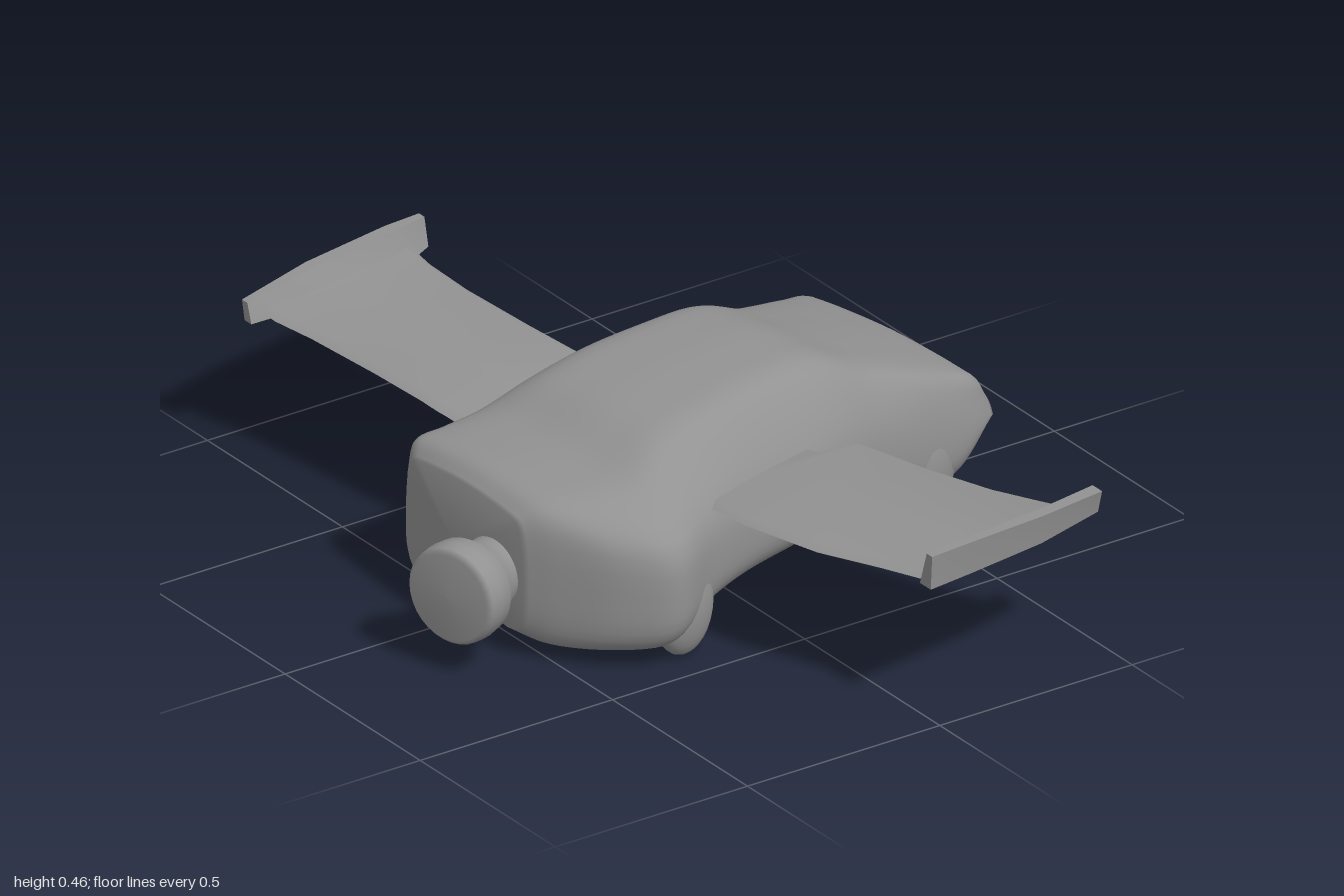
import * as THREE from 'three';
import { toCreasedNormals } from 'three/addons/utils/BufferGeometryUtils.js';

const V = (x, y, z) => new THREE.Vector3(x, y, z);
const material = new THREE.MeshStandardMaterial({ color: 0x929292, side: THREE.DoubleSide });

function addMesh(parent, name, geometry) {
  const mesh = new THREE.Mesh(geometry, material);
  mesh.name = name;
  parent.add(mesh);
  return mesh;
}

// Skin a row of closed rings and close both ends; bulge pushes the end centres outwards
function loft(rings, bulge = 0) {
  const n = rings[0].length, pos = [], idx = [];
  rings.forEach(r => r.forEach(p => pos.push(p.x, p.y, p.z)));
  for (let i = 0; i < rings.length - 1; i++) {
    for (let j = 0; j < n; j++) {
      const a = i * n + j, b = i * n + (j + 1) % n;
      idx.push(a, b, b + n, a, b + n, a + n);
    }
  }
  [0, rings.length - 1].forEach((r, end) => {
    const c = V(0, 0, 0);
    rings[r].forEach(p => c.addScaledVector(p, 1 / n));
    const centre = pos.length / 3;
    pos.push(c.x, c.y, c.z + (end ? bulge : -bulge));
    for (let j = 0; j < n; j++) {
      const a = r * n + j, b = r * n + (j + 1) % n;
      idx.push(centre, end ? a : b, end ? b : a);
    }
  });
  const g = new THREE.BufferGeometry();
  g.setAttribute('position', new THREE.Float32BufferAttribute(pos, 3));
  g.setIndex(idx);
  g.computeVertexNormals();
  return g;
}

// Resample rings with splines, around and along
function smoothRings(rings, around, along) {
  const round = rings.map(r => {
    const curve = new THREE.CatmullRomCurve3(r, true);
    return Array.from({ length: around }, (_, j) => curve.getPoint(j / around));
  });
  const lines = round[0].map((_, j) => new THREE.CatmullRomCurve3(round.map(r => r[j])));
  return Array.from({ length: along + 1 }, (_, i) => lines.map(l => l.getPoint(i / along)));
}

// Car cross-section between its two flanks: sill, shoulder and roof heights, roof width and sideways shift
function bodyRing([xl, zl, xr, zr, sill, shoulder, roof, w, shift = 0]) {
  const lower = [
    [0.5, sill], [0.85, sill], [0.97, sill + 0.04], [1, (sill + shoulder) / 2], [0.96, shoulder],
  ];
  const upper = [[w + 0.06, roof - (roof - shoulder) * 0.3], [w - 0.12, roof - 0.008], [w * 0.4, roof]];
  const side = s => [...lower.map(([u, y]) => [s * u, y]), ...upper.map(([u, y]) => [s * u + shift, y])];
  return [[0, sill], ...side(1), [shift, roof + 0.003], ...side(-1).reverse()].map(([u, y]) => {
    const t = (u + 1) / 2;
    return V(xl + (xr - xl) * t, y, zl + (zr - zl) * t);
  });
}

// Thin wing section; skew moves the leading edge along x
function wingRing([x, y, back, front, skew = 0]) {
  const d = front - back, h = 0.011, e = 0.02 / d;
  return [
    [1 - e, -h], [0.5, -h], [e, -h], [0, 0], [e, h], [0.5, h], [1 - e, h], [1, 0],
  ].map(([t, dy]) => V(x + skew * t, y + dy, back + d * t));
}

// Wing tip plate section at one z: foot from a0 to a1, top edge from b0 to b1
function plateRing([a0, a1, b0, b1, low, high, z]) {
  return [V(a0, low, z), V(a1, low, z), V(b1, high, z), V(b0, high, z)];
}

export function createModel() {
  const model = new THREE.Group();
  model.name = 'wingedCar';

  // Car body, from tail to nose
  const sections = [
    [-0.36, -0.665, 0.14, -0.742, 0.15, 0.2, 0.23, 0.8],
    [-0.405, -0.625, 0.165, -0.7, 0.105, 0.23, 0.29, 0.85],
    [-0.39, -0.53, 0.185, -0.63, 0.06, 0.245, 0.325, 0.82],
    [-0.36, -0.43, 0.2, -0.54, 0.06, 0.265, 0.357, 0.8],
    [-0.335, -0.33, 0.22, -0.43, 0.08, 0.28, 0.395, 0.75],
    [-0.33, -0.2, 0.26, -0.3, 0.09, 0.3, 0.45, 0.7],
    [-0.325, -0.05, 0.305, -0.15, 0.09, 0.3, 0.463, 0.67],
    [-0.31, 0.12, 0.36, 0.03, 0.09, 0.3, 0.46, 0.67],
    [-0.28, 0.25, 0.42, 0.18, 0.08, 0.3, 0.443, 0.66, -0.04],
    [-0.25, 0.36, 0.482, 0.31, 0.05, 0.29, 0.395, 0.7, -0.1],
    [-0.23, 0.46, 0.425, 0.41, 0.045, 0.295, 0.382, 0.73, -0.09],
    [-0.215, 0.53, 0.31, 0.505, 0.045, 0.3, 0.368, 0.8, -0.04],
    [-0.18, 0.56, 0.24, 0.55, 0.065, 0.28, 0.338, 0.82],
  ];
  addMesh(model, 'body', loft(smoothRings(sections.map(bodyRing), 56, 66), 0.03));

  // Soft, stubby wheels blending into the flanks
  const wheels = [
    ['frontLeftWheel', 0.405, 0.25], ['frontRightWheel', -0.205, 0.36],
    ['rearLeftWheel', 0.155, -0.555], ['rearRightWheel', -0.325, -0.445],
  ];
  for (const [name, x, z] of wheels) {
    const wheel = addMesh(model, name, new THREE.SphereGeometry(1, 24, 16));
    wheel.scale.set(0.047, 0.115, 0.08);
    wheel.position.set(x, 0.118, z);
    wheel.rotation.y = 0.19;
  }

  // Flared round nozzle on the nose
  const profile = [
    [0.085, -0.08], [0.078, 0], [0.078, 0.04], [0.093, 0.08], [0.11, 0.105],
    [0.114, 0.14], [0.111, 0.168], [0.1, 0.18], [0, 0.183],
  ].map(([r, y]) => new THREE.Vector2(r, y));
  const nozzle = addMesh(model, 'noseNozzle', new THREE.LatheGeometry(profile, 32));
  nozzle.rotation.set(Math.PI / 2, 0, -0.33);
  nozzle.position.set(0.14, 0.183, 0.545);

  // Wings, each listed in order of rising x: x, y, trailing z, leading z, skew
  const wings = {
    leftWing: [
      [0.2, 0.3, -0.15, 0.19], [0.31, 0.31, -0.19, 0.18], [0.33, 0.312, -0.28, 0.17],
      [0.5, 0.318, -0.315, 0.155], [0.68, 0.324, -0.368, 0.11, 0.02],
      [0.8, 0.329, -0.42, 0.05, 0.04], [0.885, 0.335, -0.455, 0.01, 0.07],
    ],
    rightWing: [
      [-0.955, 0.335, 0.0, 0.435, 0.06], [-0.88, 0.328, 0.005, 0.43, 0.03], [-0.75, 0.32, 0.0, 0.405],
      [-0.55, 0.312, -0.02, 0.38], [-0.4, 0.305, -0.04, 0.365], [-0.35, 0.3, -0.03, 0.36],
      [-0.325, 0.297, 0.03, 0.355], [-0.2, 0.285, 0.04, 0.34],
    ],
  };
  for (const [name, rows] of Object.entries(wings)) {
    addMesh(model, name, toCreasedNormals(loft(rows.map(wingRing)), 0.8));
  }

  // Wedge-shaped plates at the wing tips
  const plates = {
    leftWingTip: [
      [0.87, 0.905, 0.885, 0.92, 0.335, 0.39, -0.478], [0.9, 0.95, 0.93, 0.96, 0.33, 0.4, -0.3],
      [0.93, 0.98, 0.965, 0.99, 0.33, 0.41, -0.1], [0.955, 0.995, 0.98, 1, 0.33, 0.41, 0.02],
    ],
    rightWingTip: [
      [-0.995, -0.965, -1, -0.98, 0.32, 0.385, -0.05], [-0.98, -0.92, -0.985, -0.955, 0.315, 0.39, 0.05],
      [-0.94, -0.885, -0.95, -0.92, 0.315, 0.385, 0.28], [-0.905, -0.88, -0.915, -0.895, 0.32, 0.365, 0.47],
    ],
  };
  for (const [name, rows] of Object.entries(plates)) {
    addMesh(model, name, toCreasedNormals(loft(rows.map(plateRing)), 0.8));
  }
  return model;
}
